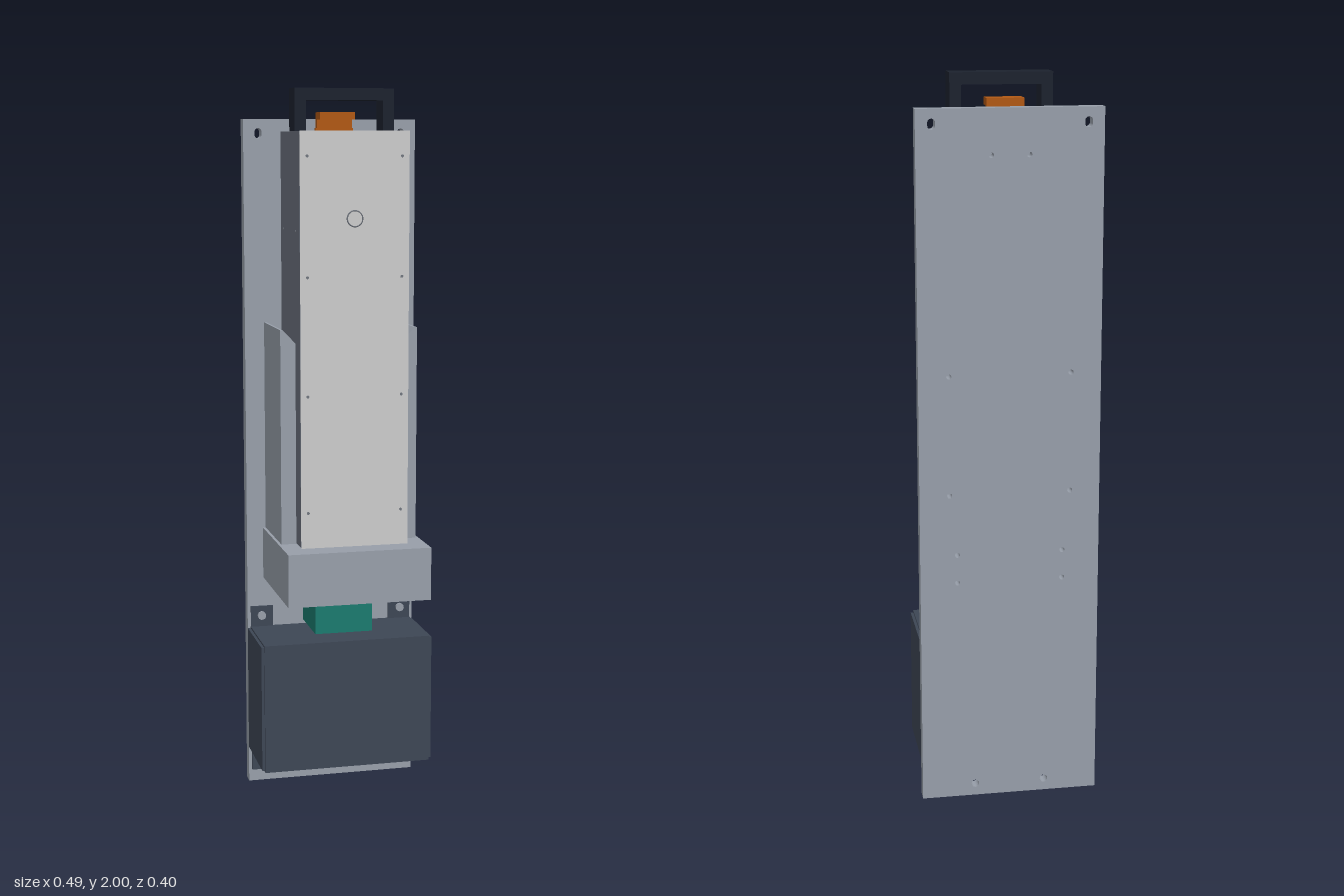
import * as THREE from 'three';

const mat = (color) => new THREE.MeshStandardMaterial({ color, side: THREE.DoubleSide });

export function createModel() {
  const root = new THREE.Group();
  const M = {
    plate: mat(0x979ea9), shell: mat(0x6b717d), panel: mat(0xc4c5c8), dark: mat(0x3d4654),
    black: mat(0x1c222e), orange: mat(0xb05814), teal: mat(0x1b7a6e), gold: mat(0xb8901a), screw: mat(0x70757e),
  };

  const add = (name, geo, m, parent = root) => {
    const mesh = new THREE.Mesh(geo, m);
    mesh.name = name;
    parent.add(mesh);
    return mesh;
  };
  // Box given by its extents on each axis
  const box = (name, m, x0, x1, y0, y1, z0, z1) => {
    const geo = new THREE.BoxGeometry(x1 - x0, y1 - y0, z1 - z0);
    geo.translate((x0 + x1) / 2, (y0 + y1) / 2, (z0 + z1) / 2);
    return add(name, geo, m);
  };
  const outline = (pts) => new THREE.Shape(pts.map(([x, y]) => new THREE.Vector2(x, y)));
  const rect = (x0, x1, y0, y1) => outline([[x0, y0], [x1, y0], [x1, y1], [x0, y1]]);
  const drill = (shape, x, y, r) => {
    const hole = new THREE.Path();
    hole.absarc(x, y, r, 0, Math.PI * 2, true);
    shape.holes.push(hole);
  };
  const extrude = (shape, z0, z1) => {
    const geo = new THREE.ExtrudeGeometry(shape, { depth: z1 - z0, bevelEnabled: false, curveSegments: 10 });
    return geo.translate(0, 0, z0);
  };
  // Short cylinder pointing along z or x
  const stud = (name, m, r, len, x, y, z, axis = 'z') => {
    const geo = new THREE.CylinderGeometry(r, r, len, 16);
    if (axis === 'z') geo.rotateX(Math.PI / 2);
    else if (axis === 'x') geo.rotateZ(Math.PI / 2);
    add(name, geo, m).position.set(x, y, z);
  };

  // Mounting plate with mounting and fixing holes
  const plate = rect(-0.247, 0.247, 0, 1.92);
  const back = -0.163;
  for (const s of [-1, 1]) {
    // Upper mounting slots
    const slot = new THREE.Path();
    slot.absarc(s * 0.205, 1.885, 0.01, 0, Math.PI, false);
    slot.absarc(s * 0.205, 1.877, 0.01, Math.PI, Math.PI * 2, false);
    plate.holes.push(slot);
    drill(plate, s * 0.098, 0.035, 0.011);
    for (const [x, y] of [[0.05, 1.8], [0.165, 1.22], [0.165, 0.89], [0.145, 0.72], [0.145, 0.64]])
      drill(plate, s * x, y, 0.007);
  }
  add('mountingPlate', extrude(plate, -0.2, back), M.plate);

  // Removable module: shell and flared front panel
  box('moduleShell', M.shell, -0.148, 0.148, 0.7, 1.885, -0.13, 0.12);
  const panel = outline([[-0.147, -0.12], [0.147, -0.12], [0.15, -0.133], [-0.15, -0.133]]);
  const panelGeo = extrude(panel, 0.72, 1.886);
  panelGeo.rotateX(-Math.PI / 2);
  add('frontPanel', panelGeo, M.panel);

  // Round indicator and small panel screws
  const ring = new THREE.TorusGeometry(0.021, 0.002, 6, 32);
  add('indicatorRing', ring, M.screw).position.set(0, 1.655, 0.133);
  stud('indicator', M.panel, 0.02, 0.002, 0, 1.655, 0.133);
  for (const s of [-1, 1]) {
    for (const y of [0.86, 1.18, 1.5, 1.82]) stud('panelScrew', M.screw, 0.004, 0.002, s * 0.13, y, 0.133);
    for (const z of [-0.1, 0.07]) stud('sideScrew', M.screw, 0.004, 0.002, s * 0.148, 1.62, z, 'x');
  }

  // Carrying handle
  const handle = outline([[-0.138, 1.885], [-0.138, 2], [0.138, 2], [0.138, 1.885],
    [0.107, 1.885], [0.107, 1.968], [-0.107, 1.968], [-0.107, 1.885]]);
  add('handle', extrude(handle, -0.058, 0.013), M.black);

  // Spring latch with its thumb tab, hook and catch block
  box('latchTab', M.orange, -0.05, 0.05, 1.918, 1.938, -0.12, -0.07);
  box('latchStem', M.orange, -0.05, 0.05, 1.86, 1.938, -0.122, -0.108);
  box('latchFoot', M.orange, -0.053, 0.053, 1.885, 1.895, -0.125, -0.108);
  const hook = extrude(outline([[0.125, 1.69], [0.14, 1.71], [0.147, 1.775], [0.125, 1.775]]), -0.06, 0.06);
  hook.rotateY(Math.PI / 2);
  hook.scale(1, 1, 1);
  add('latchHook', hook, M.orange);
  // The outline's first axis now points to -z
  box('latchCatch', M.plate, -0.083, 0.083, 1.782, 1.825, back, -0.137);

  // Cradle: deep base tray and two guide walls with lead-in slopes
  box('cradleBase', M.plate, -0.2, 0.2, 0.615, 0.762, back, 0.2);
  for (const s of [-1, 1]) {
    const wall = outline([[0.15, 0.76], [0.192, 0.76], [0.192, 1.355], [0.185, 1.355], [0.15, 1.318]]
      .map(([x, y]) => [s * x, y]));
    add('guideWall', extrude(wall, back, 0.068), M.plate);
  }

  // Contact board below the cradle, with solder posts
  box('contactBoard', M.gold, -0.14, 0.14, 0.607, 0.616, -0.13, 0.085);
  for (const x of [-0.13, 0.13])
    for (const z of [-0.12, 0.075]) stud('contactPost', M.gold, 0.007, 0.014, x, 0.606, z, 'y');

  // Terminal block
  box('terminalBlock', M.teal, -0.083, 0.083, 0.482, 0.585, back, 0.005);

  // Power unit: main case, slightly recessed end caps and bolted tabs
  box('powerUnitCase', M.dark, -0.239, 0.239, 0.1, 0.47, back, 0.054);
  for (const s of [-1, 1]) {
    const [a, b] = s > 0 ? [0.22, 0.247] : [-0.247, -0.22];
    box('powerUnitEndCap', M.dark, a, b, 0.105, 0.465, back, 0.048);
    for (const [y0, y1, hy] of [[0.035, 0.11, 0.066], [0.46, 0.53, 0.503]]) {
      const tab = s > 0 ? rect(0.173, 0.238, y0, y1) : rect(-0.238, -0.173, y0, y1);
      add('mountingTab', extrude(tab, back, -0.157), M.dark);
      stud('tabBolt', M.plate, 0.012, 0.009, s * 0.207, hy, -0.153);
    }
  }
  return root;
}
